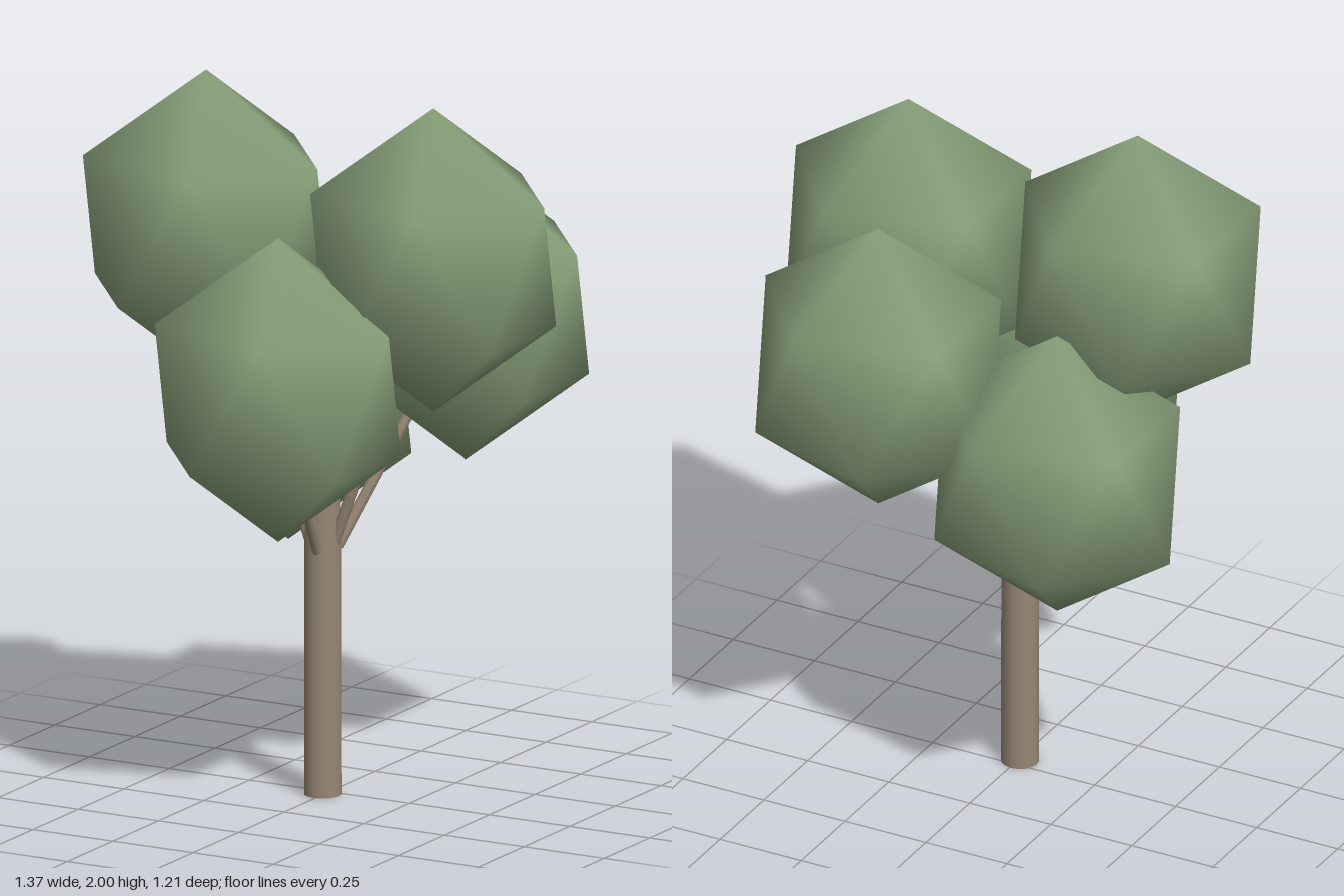
import * as THREE from 'three';

const leafMaterial = new THREE.MeshStandardMaterial({ color: 0x88a07a });
const barkMaterial = new THREE.MeshStandardMaterial({ color: 0x988876 });

// Smooth-shaded icosahedron standing on a corner: top, two rings of five, bottom
function crownGeometry() {
  const points = [0, 1, 0];
  const h = 1 / Math.sqrt(5), r = 2 * h;
  for (let ring = 0; ring < 2; ring++) {
    for (let i = 0; i < 5; i++) {
      const a = ((2 * i + ring) * Math.PI) / 5;
      points.push(r * Math.cos(a), ring ? -h : h, r * Math.sin(a));
    }
  }
  points.push(0, -1, 0);

  const faces = [];
  for (let i = 0; i < 5; i++) {
    const j = (i + 1) % 5;
    const u = 1 + i, un = 1 + j, l = 6 + i, ln = 6 + j;
    faces.push(0, un, u, u, un, l, l, un, ln, 11, l, ln);
  }
  const geometry = new THREE.BufferGeometry();
  geometry.setAttribute('position', new THREE.Float32BufferAttribute(points, 3));
  geometry.setIndex(faces);
  geometry.computeVertexNormals();
  return geometry;
}

// Tapered round limb between two points
function limb(name, from, to, r0, r1, sides) {
  const a = new THREE.Vector3(...from), b = new THREE.Vector3(...to);
  const dir = b.clone().sub(a);
  const mesh = new THREE.Mesh(new THREE.CylinderGeometry(r1, r0, dir.length(), sides), barkMaterial);
  mesh.position.copy(a).add(b).multiplyScalar(0.5);
  mesh.quaternion.setFromUnitVectors(new THREE.Vector3(0, 1, 0), dir.normalize());
  mesh.name = name;
  return mesh;
}

export function createModel() {
  const tree = new THREE.Group();
  tree.name = 'tree';

  // Trunk: straight below the fork, tapering into the crown
  tree.add(limb('trunk', [-0.005, 0, 0.028], [-0.005, 0.7, 0.028], 0.052, 0.051, 16));
  tree.add(limb('upperTrunk', [-0.005, 0.7, 0.028], [-0.005, 1.2, 0.028], 0.051, 0.042, 16));

  // Foliage clumps, each carried by a branch
  const clumps = [
    { name: 'upperRight', centre: [-0.34, 1.575, 0.08], root: [-0.04, 0.71, 0.035] },
    { name: 'upperLeft', centre: [0.335, 1.54, 0.02], root: [0.03, 0.71, 0.025] },
    { name: 'front', centre: [0.015, 1.2, 0.31], root: [0, 0.69, 0.065] },
    { name: 'backLeft', centre: [0.25, 1.32, -0.31], root: [0.02, 0.69, -0.01] },
    { name: 'backRight', centre: [-0.24, 1.06, -0.195], root: [-0.04, 0.69, 0] },
  ];
  const geometry = crownGeometry();
  for (const { name, centre, root } of clumps) {
    const foliage = new THREE.Mesh(geometry, leafMaterial);
    foliage.name = name + 'Foliage';
    foliage.position.set(...centre);
    foliage.scale.set(0.388, 0.426, 0.347);
    tree.add(foliage, limb(name + 'Branch', root, centre, 0.017, 0.012, 8));
  }
  return tree;
}
